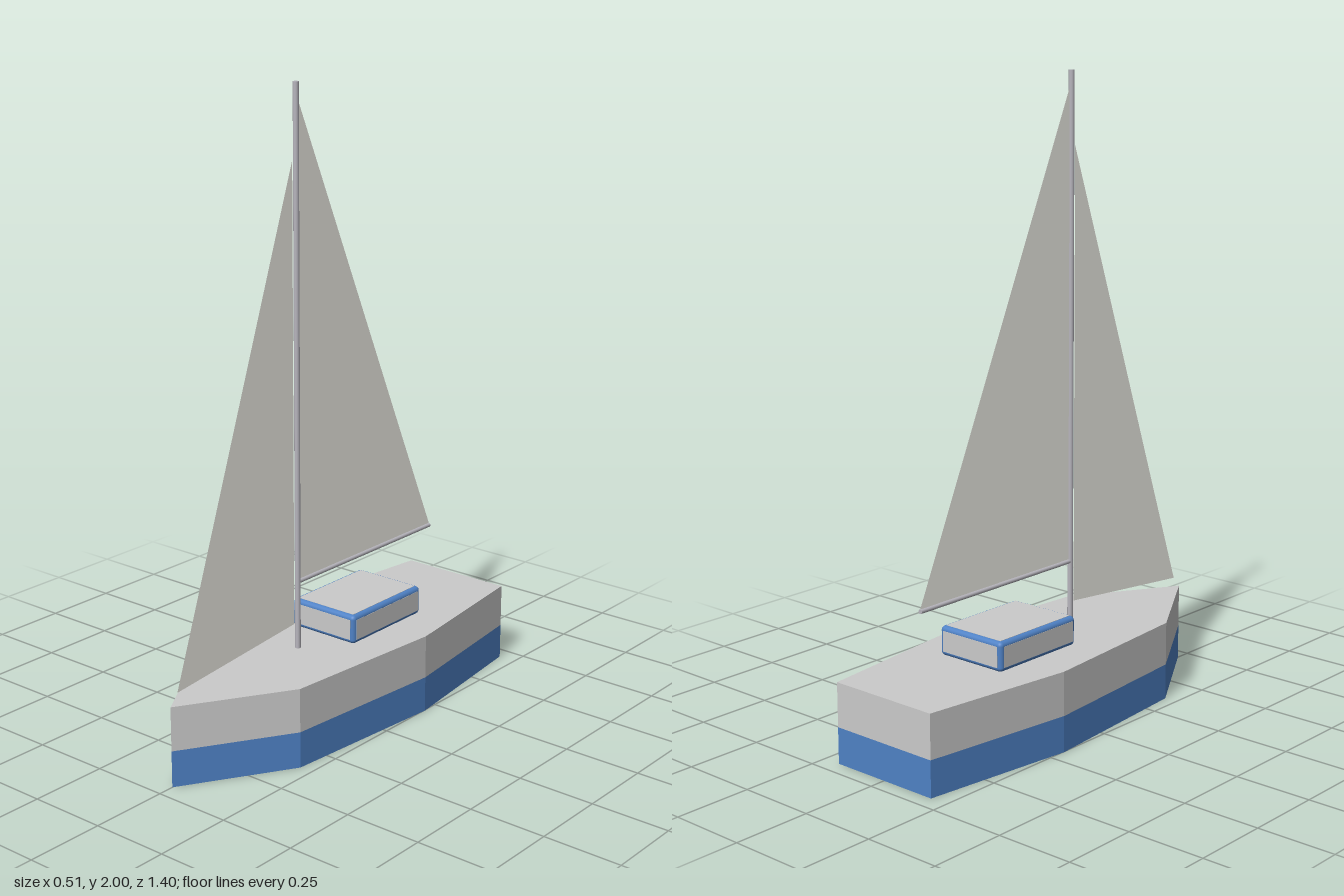
import * as THREE from 'three';
import { RoundedBoxGeometry } from 'three/addons/geometries/RoundedBoxGeometry.js';

export function createModel() {
  const boat = new THREE.Group();
  boat.name = 'sailboat';

  const grey = new THREE.MeshStandardMaterial({ color: 0xcccccc });
  const blue = new THREE.MeshStandardMaterial({ color: 0x4f82c6 });
  const metal = new THREE.MeshStandardMaterial({ color: 0xb8b6be });
  const cloth = new THREE.MeshStandardMaterial({ color: 0xfbfaf2, side: THREE.DoubleSide });

  const add = (name, geometry, material, x = 0, y = 0, z = 0, parent = boat) => {
    const mesh = new THREE.Mesh(geometry, material);
    mesh.name = name;
    mesh.position.set(x, y, z);
    parent.add(mesh);
    return mesh;
  };

  // Hull: one outline, given as half width and z from stern to bow, in two bands
  const side = [[0.19, -0.698], [0.253, -0.193], [0.206, 0.362]];
  const outline = new THREE.Shape([
    ...side.map(([x, z]) => new THREE.Vector2(x, -z)),
    new THREE.Vector2(0, -0.698),
    ...side.map(([x, z]) => new THREE.Vector2(-x, -z)).reverse(),
  ]);
  const band = (height) =>
    new THREE.ExtrudeGeometry(outline, { depth: height, bevelEnabled: false }).rotateX(-Math.PI / 2);
  add('lowerHull', band(0.115), blue);
  add('upperHull', band(0.14), grey, 0, 0.115);

  // Cabin: blue rounded body with flat grey panels just proud of each pair of faces
  const cabin = new THREE.Group();
  cabin.name = 'cabin';
  cabin.position.set(0, 0.303, -0.161);
  boat.add(cabin);
  const size = [0.25, 0.094, 0.342];
  const edge = 0.014;
  add('cabinTrim', new RoundedBoxGeometry(...size, 4, edge), blue, 0, 0, 0, cabin);
  ['cabinSidePanels', 'cabinRoofPanel', 'cabinEndPanels'].forEach((name, axis) => {
    const dims = size.map((s, i) => (i === axis ? s + 0.002 : s - 2 * edge));
    add(name, new THREE.BoxGeometry(...dims), grey, 0, 0, 0, cabin);
  });

  // Mast and boom
  add('mast', new THREE.CylinderGeometry(0.009, 0.009, 1.745, 12), metal, 0, 1.1275, 0.13);
  add('boom', new THREE.CylinderGeometry(0.007, 0.007, 0.67, 12).rotateX(Math.PI / 2),
    metal, 0, 0.473, -0.205);

  // Sails: flat triangles on the centre line, corners as z, y
  const sail = (name, corners) => {
    const shape = new THREE.Shape(corners.map(([z, y]) => new THREE.Vector2(z, y)));
    add(name, new THREE.ShapeGeometry(shape).rotateY(-Math.PI / 2), cloth);
  };
  sail('mainSail', [[0.122, 1.95], [0.122, 0.48], [-0.54, 0.48]]);
  sail('foreSail', [[0.147, 1.775], [0.147, 0.338], [0.668, 0.29]]);

  return boat;
}
